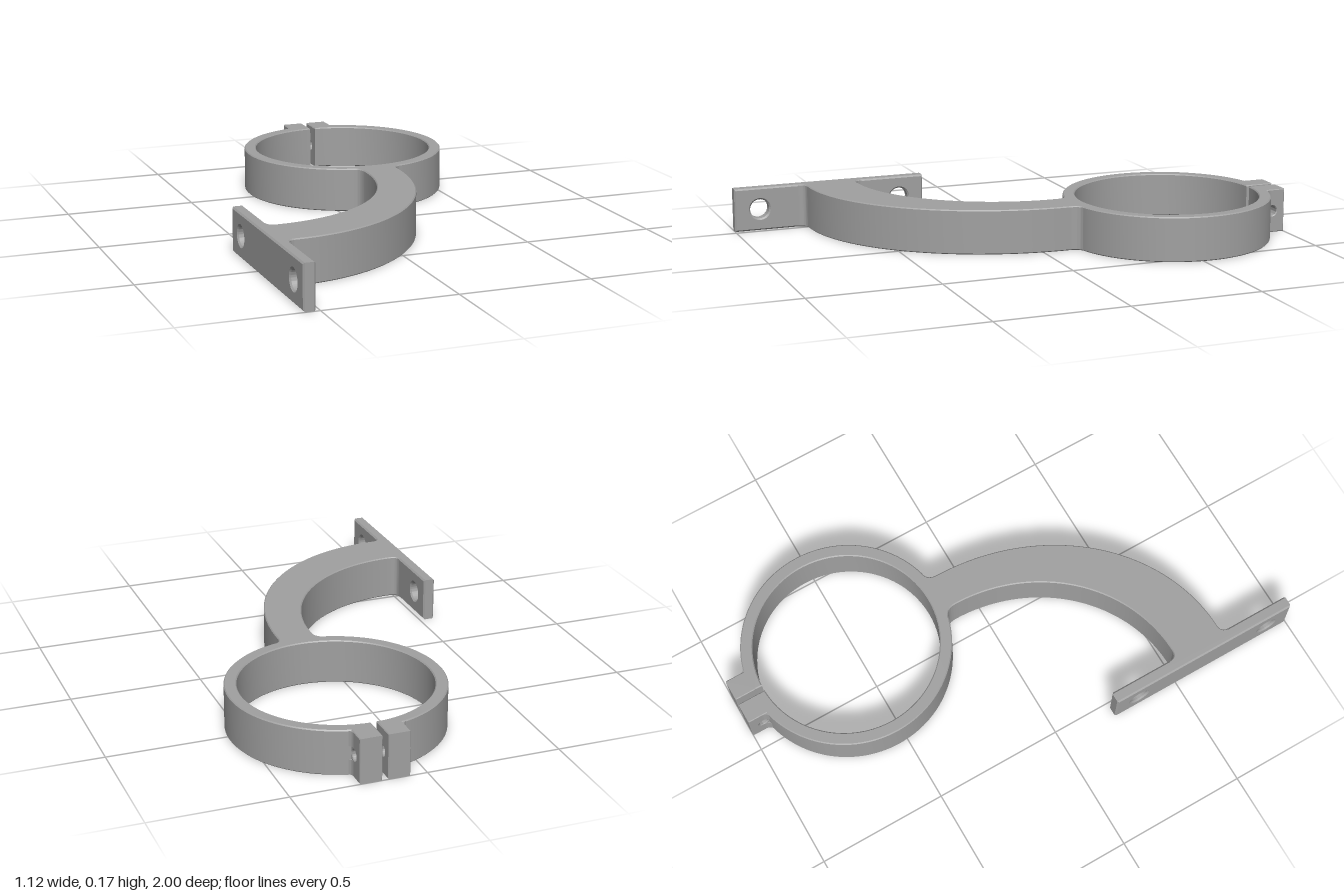
import * as THREE from 'three';
import { toCreasedNormals } from 'three/addons/utils/BufferGeometryUtils.js';

const H = 0.17;            // height of the bracket
const CX = 0.157, CZ = -0.535, R_OUT = 0.4, R_IN = 0.354; // clamp ring
const Q = Math.PI / 2;

const grey = new THREE.MeshStandardMaterial({ color: 0xa0a0a0 });
grey.name = 'grey';

function extrude(shape, depth, bevel) {
  return new THREE.ExtrudeGeometry(shape, {
    depth: depth - 2 * bevel, curveSegments: 40, bevelEnabled: bevel > 0,
    bevelSize: bevel, bevelThickness: bevel, bevelOffset: -bevel, bevelSegments: 1,
  }).translate(0, 0, bevel);
}

function part(name, geometry) {
  const mesh = new THREE.Mesh(toCreasedNormals(geometry, 0.6), grey);
  mesh.name = name;
  return mesh;
}

// Plan outline in (x, z), raised from y0 to y1
function slab(name, shape, y0, y1, bevel) {
  return part(name, extrude(shape, y1 - y0, bevel).rotateX(Q).translate(0, y1, 0));
}

// Upright plate between x0 and x1, drilled along x at the given z positions
function drilledPlate(name, x0, x1, z0, z1, holes, r, bevel) {
  const s = new THREE.Shape();
  s.moveTo(-z1, 0).lineTo(-z0, 0).lineTo(-z0, H).lineTo(-z1, H).closePath();
  for (const z of holes) s.holes.push(new THREE.Path().absarc(-z, H / 2, r, 0, Math.PI * 2, true));
  return part(name, extrude(s, x1 - x0, bevel).rotateY(Q).translate(x0, 0, 0));
}

export function createModel() {
  const model = new THREE.Group();
  model.name = 'clampBracket';

  // Split ring and curved arm in one outline
  const ringAt = (a) => [CX + R_OUT * Math.cos(a), CZ + R_OUT * Math.sin(a)];
  const s = new THREE.Shape();
  s.moveTo(0.166, -0.889);
  s.lineTo(0.166, -0.924);
  s.lineTo(0.249, -0.924);
  s.absarc(CX, CZ, R_OUT, -1.338, Q - 0.26, false);
  s.quadraticCurveTo(0.225, -0.145, 0.225, -0.1);
  s.absellipse(-0.484, -0.1, 0.709, 0.815, 0, Q, false);
  s.quadraticCurveTo(-0.515, 0.715, -0.515, 0.745);
  s.lineTo(-0.54, 0.745);
  s.lineTo(-0.54, 0.485);
  s.lineTo(-0.515, 0.485);
  s.quadraticCurveTo(-0.515, 0.515, -0.484, 0.515);
  s.absellipse(-0.484, -0.1, 0.571, 0.615, Q, 0, true);
  s.quadraticCurveTo(0.087, -0.145, ...ringAt(Q + 0.27));
  s.absarc(CX, CZ, R_OUT, Q + 0.27, 2 * Math.PI - 1.808, false);
  s.lineTo(0.145, -0.924);
  s.lineTo(0.145, -0.889);
  s.absarc(CX, CZ, R_IN, -Q - 0.034, -Q + 0.0254, true);
  model.add(slab('ringAndArm', s, 0, H, 0.004));

  // Wall plate with two screw holes
  model.add(drilledPlate('mountingPlate', -0.56, -0.515, 0.23, 1, [0.33, 0.9], 0.038, 0.006));

  // Clamp ears with a bolt hole
  model.add(drilledPlate('rightClampEar', 0.063, 0.145, -1, -0.915, [-0.947], 0.02, 0.003));
  model.add(drilledPlate('leftClampEar', 0.166, 0.249, -1, -0.915, [-0.947], 0.02, 0.003));

  // Fillets between ears and ring, left clear around the bolt hole
  for (const [name, x, d] of [['right', 0.063, -1], ['left', 0.249, 1]]) {
    const f = new THREE.Shape();
    f.moveTo(x - d * 0.005, -0.945);
    f.lineTo(x, -0.945);
    f.quadraticCurveTo(x, -0.919, x + d * 0.032, -0.913);
    f.lineTo(x - d * 0.005, -0.91);
    f.closePath();
    for (const y of [0.003, 0.11]) model.add(slab(name + 'EarFillet', f, y, y + 0.057, 0));
  }
  return model;
}
